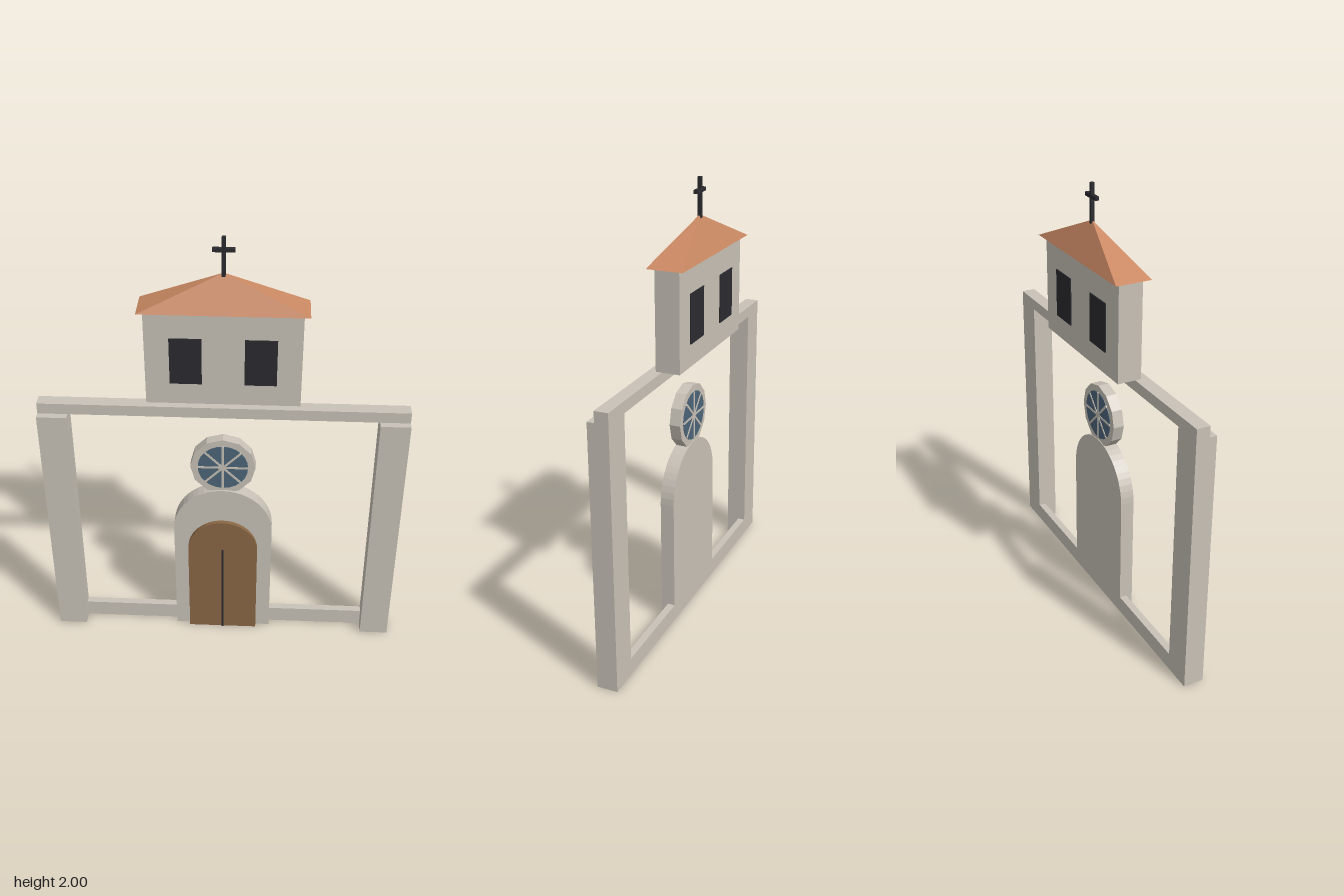
import * as THREE from 'three';

const material = (name, color, flat = true) => {
  const m = new THREE.MeshStandardMaterial({ color });
  m.name = name;
  m.flatShading = flat;
  return m;
};

export function createModel() {
  const stone = material('stone', 0xc8c1b7);
  const wood = material('wood', 0x8a6745);
  const tile = material('roof tile', 0xc98862);
  const iron = material('dark iron', 0x2b2b30);
  const glass = material('blue glass', 0x4c667a);

  const model = new THREE.Group();
  model.name = 'chapelFacade';
  const BACK = 0.007; // shared back plane of the facade
  const BELL_Z = -0.02; // centre of the bell tower

  const add = (name, geometry, mat, parent = model) => {
    const mesh = new THREE.Mesh(geometry, mat);
    mesh.name = name;
    parent.add(mesh);
    return mesh;
  };
  // Box given by its limits on each axis
  const box = (name, mat, x0, x1, y0, y1, z0, z1, parent) => {
    const mesh = add(name, new THREE.BoxGeometry(x1 - x0, y1 - y0, z1 - z0), mat, parent);
    mesh.position.set((x0 + x1) / 2, (y0 + y1) / 2, (z0 + z1) / 2);
    return mesh;
  };
  // Round-headed slab standing on the ground
  const archSlab = (name, mat, halfWidth, spring, z0, z1) => {
    const shape = new THREE.Shape();
    shape.moveTo(-halfWidth, 0);
    shape.lineTo(halfWidth, 0);
    shape.lineTo(halfWidth, spring);
    shape.absarc(0, spring, halfWidth, 0, Math.PI, false);
    shape.closePath();
    const geometry = new THREE.ExtrudeGeometry(shape, { depth: z1 - z0, bevelEnabled: false, curveSegments: 12 });
    add(name, geometry, mat).position.z = z0;
  };

  // Frame: pillars, plinths and cornice
  for (const s of [-1, 1]) {
    const side = s > 0 ? 'left' : 'right';
    box(side + 'Pillar', stone, s * 0.735 - 0.065, s * 0.735 + 0.065, 0, 1.205, BACK, 0.1);
    box(side + 'Plinth', stone, s * 0.445 - 0.225, s * 0.445 + 0.225, 0, 0.08, BACK, 0.04);
  }
  box('cornice', stone, -0.8, 0.8, 1.205, 1.255, BACK, 0.068);

  // Doorway
  archSlab('doorSurround', stone, 0.225, 0.59, BACK, 0.07);
  archSlab('door', wood, 0.16, 0.485, 0.07, 0.09);
  box('doorSeam', iron, -0.005, 0.005, 0, 0.485, 0.09, 0.094);

  // Rose window, seen from both sides
  const rose = new THREE.Group();
  rose.name = 'roseWindow';
  rose.position.set(0, 0.94, 0.035);
  model.add(rose);
  const disc = (name, mat, radius, depth, sides) => {
    const geometry = new THREE.CylinderGeometry(radius, radius, depth, sides);
    geometry.rotateY(Math.PI / 2);
    geometry.rotateX(Math.PI / 2);
    return add(name, geometry, mat, rose);
  };
  disc('roseFrame', stone, 0.145, 0.05, 12);
  disc('roseGlass', glass, 0.112, 0.056, 24);
  for (let i = 0; i < 4; i++) {
    const spoke = box('roseSpoke', stone, -0.112, 0.112, -0.005, 0.005, -0.03, 0.03, rose);
    spoke.rotation.z = (i * Math.PI) / 4;
  }

  // Bell tower with openings front and back
  box('bellTower', stone, -0.33, 0.33, 1.255, 1.69, BELL_Z - 0.054, BELL_Z + 0.054);
  for (const s of [-1, 1]) {
    for (const f of [-1, 1]) {
      const z = BELL_Z + f * 0.0565;
      box('bellOpening', iron, s * 0.158 - 0.068, s * 0.158 + 0.068, 1.355, 1.57, z - 0.0025, z + 0.0025);
    }
  }

  // Hipped roof
  const roofGeometry = new THREE.ConeGeometry(Math.SQRT1_2, 1, 4);
  roofGeometry.rotateY(Math.PI / 4);
  roofGeometry.scale(0.71, 0.155, 0.16);
  add('roof', roofGeometry, tile).position.set(0, 1.7675, BELL_Z);

  // Roof cross
  box('crossPost', iron, -0.008, 0.008, 1.83, 2, BELL_Z - 0.008, BELL_Z + 0.008);
  box('crossArm', iron, -0.046, 0.046, 1.936, 1.952, BELL_Z - 0.0085, BELL_Z + 0.0085);

  return model;
}
